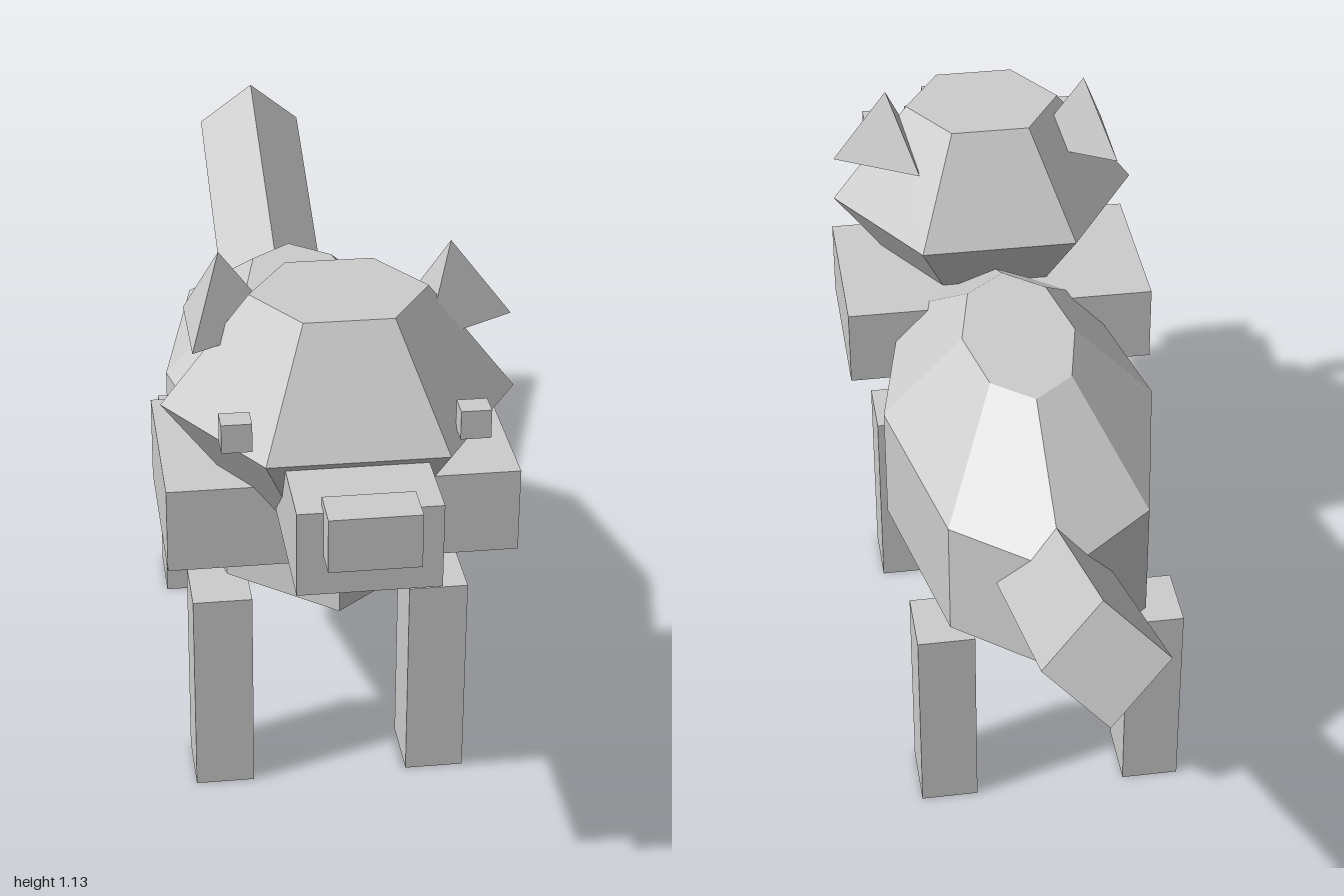
import * as THREE from 'three';

const grey = new THREE.MeshStandardMaterial({ color: 0xcccccc });

// Splits shared corners so every facet is flat
function faceted(geometry) {
  const flat = geometry.index ? geometry.toNonIndexed() : geometry;
  flat.computeVertexNormals();
  return flat;
}

export function createModel() {
  const model = new THREE.Group();

  function add(name, geometry, x, y, z) {
    const mesh = new THREE.Mesh(faceted(geometry), grey);
    mesh.name = name;
    mesh.position.set(x, y, z);
    model.add(mesh);
    return mesh;
  }
  const box = (name, w, h, d, x, y, z) => add(name, new THREE.BoxGeometry(w, h, d), x, y, z);

  // Closed faceted solid from [radius, height] pairs, first corner on +x
  function solid(profile, sides) {
    const points = profile.map(([r, y]) => new THREE.Vector2(r, y));
    return new THREE.LatheGeometry(points, sides, Math.PI / 2);
  }

  // Body: eight-sided barrel stretched along z
  const body = solid([[0, -0.287], [0.414, -0.287], [1, -0.12], [1, 0.12], [0.414, 0.287], [0, 0.287]], 8);
  add('body', body.scale(0.272, 1, 0.545), 0, 0.548, 0.025);

  // Head: six-sided double frustum
  const head = solid([[0, -0.205], [0.5, -0.205], [1, 0], [0.5, 0.205], [0, 0.205]], 6);
  add('head', head.scale(0.317, 1, 0.295), -0.002, 0.866, 0.547);

  // Chest block and face
  box('neck', 0.635, 0.16, 0.36, -0.002, 0.66, 0.46);
  box('muzzle', 0.247, 0.155, 0.32, -0.003, 0.777, 0.785);
  box('nose', 0.157, 0.098, 0.08, -0.003, 0.822, 0.96);
  for (const x of [0.202, -0.207]) {
    box(x > 0 ? 'leftEye' : 'rightEye', 0.053, 0.053, 0.045, x, 0.913, 0.757);
  }

  // Ears: three-sided cones, both turned the same way
  for (const x of [0.203, -0.208]) {
    const ear = new THREE.ConeGeometry(0.112, 0.147, 3).rotateY(Math.PI / 2);
    add(x > 0 ? 'leftEar' : 'rightEar', ear, x, 1.06, 0.5);
  }

  // Legs
  for (const x of [0.203, -0.208]) {
    for (const z of [0.413, -0.315]) {
      const name = (z > 0 ? 'front' : 'rear') + (x > 0 ? 'Left' : 'Right') + 'Leg';
      box(name, 0.112, 0.41, 0.135, x, 0.205, z);
    }
  }

  // Tail: square bar standing on its edge, sloping up to the back
  const tail = new THREE.BoxGeometry(0.157, 0.157, 0.6).rotateZ(Math.PI / 4).rotateX(0.425);
  add('tail', tail, 0, 0.697, -0.68);

  return model;
}
